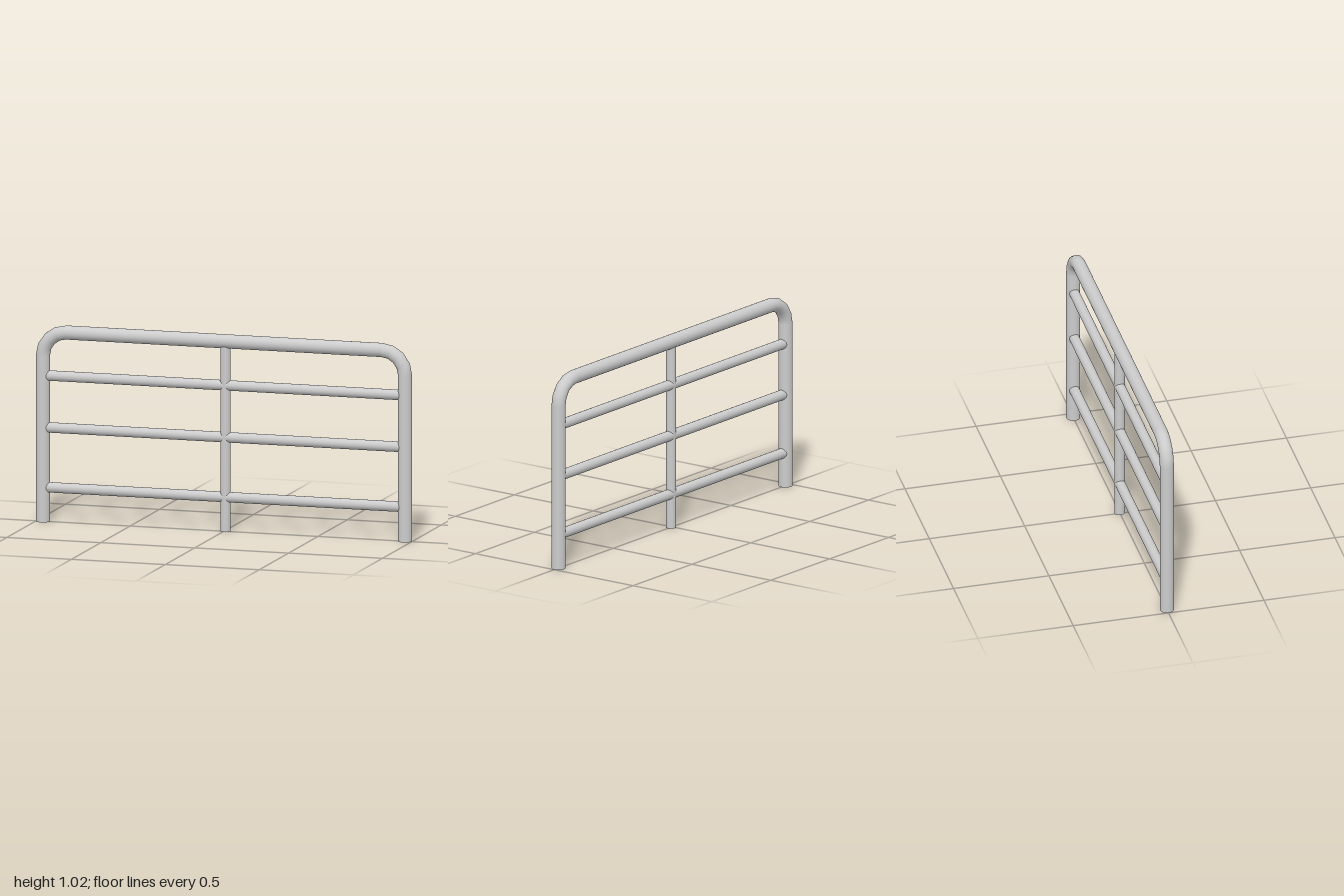
import * as THREE from 'three';

const FRAME_R = 0.036, RAIL_R = 0.0265, SIDES = 24;
const FRAME_X = 0.964, TOP_Y = 0.981, BEND = 0.125, BEND_STEPS = 4;

// Path stations with exact tangents, so the straight runs stay single segments
class HoopCurve extends THREE.Curve {
  constructor() {
    super();
    this.stations = [[-FRAME_X, 0, Math.PI / 2]];
    for (const side of [-1, 1]) {
      for (let i = 0; i <= BEND_STEPS; i++) {
        const a = (i / BEND_STEPS) * Math.PI / 2;
        const n = side < 0 ? Math.PI - a : Math.PI / 2 - a; // direction out from the bend centre
        this.stations.push([
          side * (FRAME_X - BEND) + BEND * Math.cos(n),
          TOP_Y - BEND + BEND * Math.sin(n),
          n - Math.PI / 2,
        ]);
      }
    }
    this.stations.push([FRAME_X, 0, -Math.PI / 2]);
  }
  station(t) { return this.stations[Math.round(t * (this.stations.length - 1))]; }
  getPointAt(t, target = new THREE.Vector3()) {
    const [x, y] = this.station(t);
    return target.set(x, y, 0);
  }
  getTangentAt(t, target = new THREE.Vector3()) {
    const a = this.station(t)[2];
    return target.set(Math.cos(a), Math.sin(a), 0);
  }
}

export function createModel() {
  const group = new THREE.Group();
  const material = new THREE.MeshStandardMaterial({ color: 0xcccccc });
  const add = (name, geometry, x = 0, y = 0) => {
    const mesh = new THREE.Mesh(geometry, material);
    mesh.name = name;
    mesh.position.set(x, y, 0);
    group.add(mesh);
    return mesh;
  };

  // Bent outer hoop: two legs and the top bar in one tube
  const hoop = new HoopCurve();
  add('outerFrame', new THREE.TubeGeometry(hoop, hoop.stations.length - 1, FRAME_R, SIDES));

  // Discs closing the feet of the hoop
  for (const [name, side] of [['leftFootCap', 1], ['rightFootCap', -1]]) {
    add(name, new THREE.CircleGeometry(FRAME_R, SIDES), side * FRAME_X).rotation.x = Math.PI / 2;
  }

  // Centre post, running up into the top bar
  const postHeight = 0.97;
  add('centrePost', new THREE.CylinderGeometry(RAIL_R, RAIL_R, postHeight, SIDES), 0.008, postHeight / 2);

  // Horizontal rails between the legs
  [['lowerRail', 0.177], ['middleRail', 0.486], ['upperRail', 0.754]].forEach(([name, y]) => {
    add(name, new THREE.CylinderGeometry(RAIL_R, RAIL_R, 2 * FRAME_X, SIDES), 0, y).rotation.z = Math.PI / 2;
  });

  return group;
}
